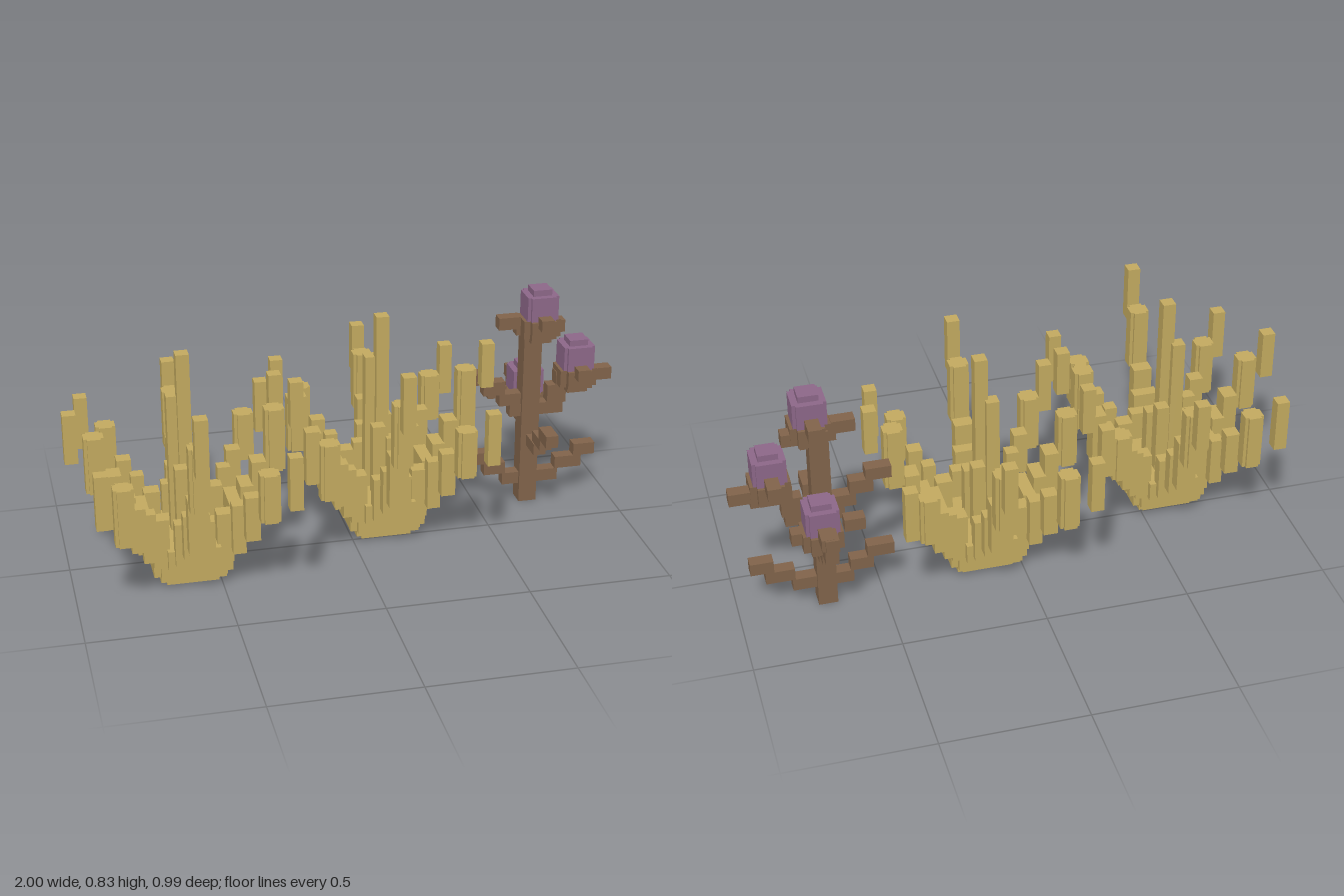
import * as THREE from 'three';

const mat = (name, color) => {
  const m = new THREE.MeshStandardMaterial({ color });
  m.name = name;
  return m;
};

export function createModel() {
  const model = new THREE.Group();
  model.name = 'plantCluster';
  const gold = mat('gold', 0xc2a95f);
  const brown = mat('brown', 0x80634a);
  const purple = mat('purple', 0x8c6788);

  // Box from centre and full width in x and z, and bottom and top in y
  function block(group, name, material, x, z, w, d, y0, y1) {
    const mesh = new THREE.Mesh(new THREE.BoxGeometry(w, y1 - y0, d), material);
    mesh.position.set(x, (y0 + y1) / 2, z);
    mesh.name = name;
    group.add(mesh);
  }
  // Plus-shaped column made of two crossing blocks
  function cross(group, name, material, x, z, wide, narrow, y0, y1) {
    block(group, name, material, x, z, wide, narrow, y0, y1);
    block(group, name, material, x, z, narrow, wide, y0, y1);
  }

  function goldenPlant(cx, cz) {
    const g = new THREE.Group();
    g.name = 'goldenPlant';
    g.position.set(cx, 0, cz);
    // Stepped base
    block(g, 'base', gold, 0, 0, 0.18, 0.18, 0, 0.0225);
    block(g, 'base', gold, 0, 0, 0.225, 0.225, 0.0225, 0.045);
    cross(g, 'base', gold, 0, 0, 0.27, 0.225, 0.045, 0.113);
    cross(g, 'base', gold, 0, 0, 0.315, 0.18, 0.09, 0.16);
    // Central stalks
    block(g, 'centreStalk', gold, 0, 0, 0.045, 0.045, 0.15, 0.81);
    block(g, 'sideStalk', gold, -0.034, -0.023, 0.045, 0.045, 0.15, 0.655);
    block(g, 'sideStalk', gold, 0.034, 0.023, 0.045, 0.045, 0.15, 0.36);
    block(g, 'sideStalk', gold, 0.023, -0.05, 0.045, 0.045, 0.15, 0.42);
    block(g, 'sideStalk', gold, -0.023, 0.05, 0.045, 0.045, 0.15, 0.42);
    // Straight arms: direction, bud bottom and top, floating tip bottom and top
    const straight = [
      [1, 0, 0.36, 0.585, 0.51, 0.675],
      [-1, 0, 0.34, 0.54, 0.455, 0.63],
      [0, 1, 0.383, 0.61, 0.54, 0.743],
      [0, -1, 0.34, 0.55, 0.455, 0.63],
    ];
    for (const [dx, dz, b0, b1, t0, t1] of straight) {
      const steps = [[0.157, 0.045, 0.135, 0.113, 0.27], [0.2, 0.045, 0.09, 0.158, 0.32], [0.245, 0.05, 0.0675, 0.203, 0.4]];
      for (const [r, len, wide, y0, y1] of steps) {
        block(g, 'armStep', gold, dx * r, dz * r, dx ? len : wide, dx ? wide : len, y0, y1);
      }
      cross(g, 'bud', gold, dx * 0.304, dz * 0.304, 0.0675, 0.045, b0, b1);
      block(g, 'tip', gold, dx * 0.38, dz * 0.38, 0.045, 0.045, t0, t1);
    }
    // Diagonal arms
    for (const sx of [-1, 1]) for (const sz of [-1, 1]) {
      const steps = [[0.108, 0.055, 0.09, 0.27], [0.15, 0.045, 0.135, 0.315], [0.19, 0.05, 0.2, 0.36]];
      for (const [r, w, y0, y1] of steps) block(g, 'diagonalStep', gold, sx * r, sz * r, w, w, y0, y1);
      cross(g, 'diagonalBud', gold, sx * 0.24, sz * 0.25, 0.0675, 0.045, sx < 0 ? 0.26 : 0.293, 0.465);
      block(g, 'diagonalTip', gold, sx * 0.315, sz * 0.315, 0.045, 0.045, 0.36, 0.55);
    }
    model.add(g);
  }
  goldenPlant(-0.5975, 0.09);
  goldenPlant(0.1225, -0.09);

  // Branching plant
  const tree = new THREE.Group();
  tree.name = 'branchingPlant';
  model.add(tree);
  const tx = 0.695, tz = -0.19;
  block(tree, 'trunk', brown, tx, tz, 0.066, 0.068, 0, 0.7);
  // Stepped branches along x: x from, x to, y from, y to
  const alongX = [
    [0.6, 0.81, 0.07, 0.115], [0.53, 0.61, 0.115, 0.16], [0.457, 0.55, 0.16, 0.205],
    [0.8, 0.9, 0.115, 0.16], [0.87, 0.95, 0.16, 0.205],
    [0.62, 0.82, 0.34, 0.385], [0.58, 0.66, 0.385, 0.43], [0.52, 0.6, 0.43, 0.48],
    [0.457, 0.545, 0.475, 0.52], [0.76, 0.83, 0.38, 0.45], [0.79, 0.93, 0.435, 0.5], [0.9, 1, 0.455, 0.5],
    [0.635, 0.815, 0.655, 0.7], [0.57, 0.65, 0.68, 0.725],
  ];
  for (const [a, b, y0, y1] of alongX) block(tree, 'branch', brown, (a + b) / 2, tz, b - a, 0.045, y0, y1);
  // Stepped branches along z: z from, z to, y from, y to
  const alongZ = [
    [-0.29, -0.066, 0.227, 0.27], [-0.09, 0, 0.275, 0.315], [-0.02, 0.068, 0.315, 0.36],
    [-0.36, -0.225, 0.27, 0.315], [-0.425, -0.34, 0.318, 0.36], [-0.45, -0.38, 0.385, 0.43],
    [-0.425, -0.36, 0.34, 0.385],
  ];
  for (const [a, b, y0, y1] of alongZ) block(tree, 'branch', brown, 0.705, (a + b) / 2, 0.045, b - a, y0, y1);

  // Flower with its stepped cup and four side shoots
  function flower(x, z, y, s) {
    block(tree, 'cup', brown, x, z, 0.075, 0.075, y - 0.09, y - 0.06);
    cross(tree, 'cup', brown, x, z, 0.135, 0.09, y - 0.065, y);
    // Shoots along x and z
    block(tree, 'shoot', brown, x, z - 0.105, 0.045, 0.068, y, y + 0.045);
    block(tree, 'shoot', brown, x, z + 0.085, 0.045, 0.045, y - 0.02, y + 0.022);
    if (s) {
      block(tree, 'shoot', brown, x - 0.11, z, 0.07, 0.045, y - 0.02, y + 0.025);
      block(tree, 'shoot', brown, x + 0.08, z, 0.045, 0.045, y - 0.045, y);
    }
    cross(tree, 'flower', purple, x, z, 0.113, 0.09, y, y + 0.088);
    block(tree, 'flowerCap', purple, x, z, 0.0675, 0.0675, y + 0.088, y + 0.11);
  }
  flower(0.717, -0.17, 0.722, false);
  flower(0.86, -0.17, 0.52, false);
  flower(0.717, -0.303, 0.386, true);
  return model;
}
